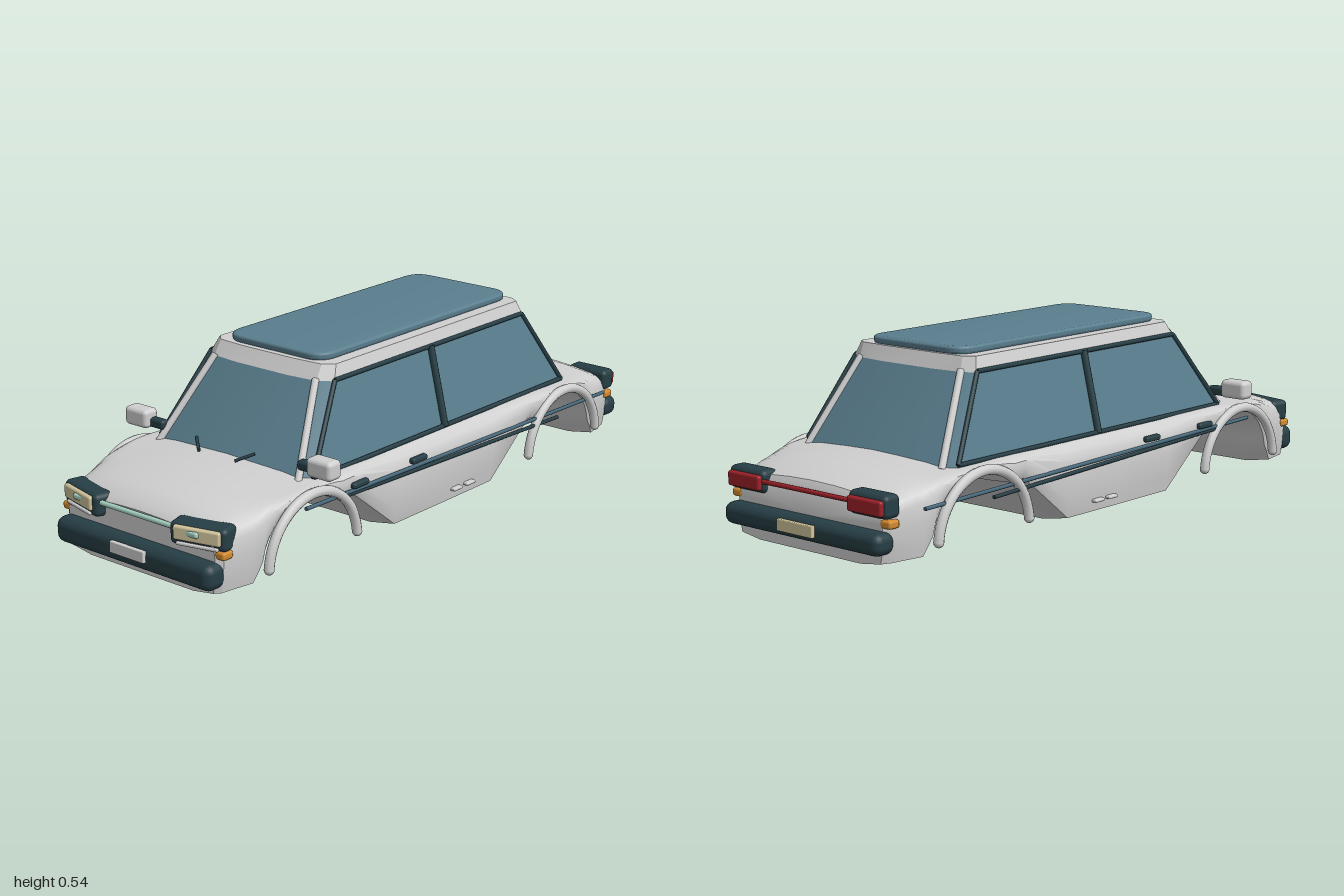
import * as THREE from 'three';
import { toCreasedNormals } from 'three/addons/utils/BufferGeometryUtils.js';
import { RoundedBoxGeometry } from 'three/addons/geometries/RoundedBoxGeometry.js';

const paint = (name, color) => {
  const m = new THREE.MeshStandardMaterial({ color });
  m.name = name;
  return m;
};
const mats = {
  body: paint('bodyPaint', 0xcfcfcf),
  glass: paint('blueGlass', 0x5a7e8e),
  dark: paint('darkTrim', 0x263e45),
  cream: paint('creamLens', 0xd2c69c),
  orange: paint('orangeLens', 0xd38a2e),
  red: paint('redLens', 0x9c2229),
  mint: paint('mintTrim', 0xa8d4c4),
  strip: paint('blueStrip', 0x46687a),
};
const V = (x, y, z) => new THREE.Vector3(x, y, z);

// Piecewise linear lookup in a list of [position, value] pairs
function lookup(table, p) {
  for (let i = 1; i < table.length; i++) {
    const [p0, v0] = table[i - 1], [p1, v1] = table[i];
    if (p <= p1) return v0 + (v1 - v0) * Math.max(0, (p - p0) / (p1 - p0));
  }
  return table[table.length - 1][1];
}

// Skin closed rings of equal length, with a cap at each end
function loft(rings, crease) {
  const n = rings[0].length, pos = [], idx = [];
  rings.forEach(r => r.forEach(p => pos.push(p.x, p.y, p.z)));
  for (let i = 0; i < rings.length - 1; i++) {
    for (let j = 0; j < n; j++) {
      const a = i * n + j, b = i * n + (j + 1) % n;
      idx.push(a, b, b + n, a, b + n, a + n);
    }
  }
  [0, rings.length - 1].forEach((i, end) => {
    const c = rings[i].reduce((s, p) => s.add(p), V(0, 0, 0)).divideScalar(n);
    const k = pos.length / 3;
    pos.push(c.x, c.y, c.z);
    for (let j = 0; j < n; j++) {
      const a = i * n + j, b = i * n + (j + 1) % n;
      idx.push(k, end ? a : b, end ? b : a);
    }
  });
  const g = new THREE.BufferGeometry();
  g.setAttribute('position', new THREE.Float32BufferAttribute(pos, 3));
  g.setIndex(idx);
  return toCreasedNormals(g, crease);
}

// Complete a half outline with its mirror image across x = 0
const mirrorRing = half => [...half, ...half.slice().reverse()
  .filter(p => p.x > 1e-6).map(p => V(-p.x, p.y, p.z))];

const ARCH = 0.605;

function bodyGeometry() {
  // Underside: flat sill, ramp, wheel tunnel, valance
  const under = [[0, 0], [0.235, 0], [0.4, 0.14], [0.43, 0.163]];
  for (let i = 0; i <= 12; i++) {
    const a = (0.75 - 0.7 * i / 12) * Math.PI;
    under.push([ARCH + 0.182 * Math.cos(a), 0.03 + 0.18 * Math.sin(a)]);
  }
  under.push([0.82, 0], [0.935, 0]);
  const top = [[-0.94, 0.155], [-0.925, 0.18], [-0.85, 0.207], [-0.7, 0.228], [-0.5, 0.236],
    [0.5, 0.238], [0.62, 0.235], [0.75, 0.226], [0.87, 0.205], [0.92, 0.182], [0.935, 0.165]];
  const width = [[-0.94, 0.285], [-0.92, 0.302], [-0.8, 0.332], [-0.6, 0.346], [0, 0.348],
    [0.6, 0.346], [0.8, 0.33], [0.92, 0.302], [0.935, 0.285]];
  const zs = new Set([0, ...top.map(t => t[0]), ...width.map(t => t[0])]);
  under.forEach(([z]) => { if (z < 0.93) { zs.add(z); zs.add(-z); } });
  const section = [[0, 0], [0.7, 0], [0.965, 0.07], [0.985, 0.25], [1, 0.55], [0.99, 0.78],
    [0.965, 0.89], [0.91, 0.96], [0.82, 1], [0.6, 1.04], [0.3, 1.07], [0, 1.08]];
  const rings = [...zs].sort((a, b) => a - b).map(z => {
    const lo = lookup(under, Math.abs(z)), hi = lookup(top, z), w = lookup(width, z);
    return mirrorRing(section.map(([sx, t]) =>
      V(sx * w, t <= 1 ? lo + (hi - lo) * t : hi + (t - 1) * 0.22, z)));
  });
  return loft(rings, 0.55);
}

export function createModel() {
  const car = new THREE.Group();
  car.name = 'carBody';
  const add = (name, geo, mat, x = 0, y = 0, z = 0) => {
    const m = new THREE.Mesh(geo, mat);
    m.name = name;
    m.position.set(x, y, z);
    car.add(m);
    return m;
  };
  const block = (name, mat, size, at, r = 0.01) => add(name,
    new RoundedBoxGeometry(...size, 3, Math.min(r, Math.min(...size) * 0.49)), mat, ...at);
  const bar = (name, mat, a, b, r, sides = 10) => {
    const d = b.clone().sub(a);
    const m = add(name, new THREE.CylinderGeometry(r, r, d.length(), sides), mat);
    m.position.copy(a).add(b).multiplyScalar(0.5);
    m.quaternion.setFromUnitVectors(V(0, 1, 0), d.normalize());
    return m;
  };

  add('bodyShell', bodyGeometry(), mats.body);

  // Glasshouse, white roof and raised roof panel
  const ring = (y, pts) => mirrorRing(pts.map(([x, z]) => V(x, y, z)));
  const base = [[0.1, 0.605], [0.262, 0.585], [0.297, 0.55], [0.297, -0.66], [0.255, -0.69], [0.1, -0.705]];
  const head = [[0.1, 0.425], [0.196, 0.415], [0.237, 0.385], [0.237, -0.515], [0.196, -0.535], [0.1, -0.545]];
  const crown = [[0.1, 0.4], [0.195, 0.393], [0.225, 0.365], [0.225, -0.505], [0.195, -0.527], [0.1, -0.532]];
  add('glasshouse', loft([ring(0.225, base), ring(0.475, head)], 0.2), mats.glass);
  add('roof', loft([ring(0.47, head.map(([x, z]) => [x * 1.01, z * 1.01])), ring(0.513, crown)], 0.2), mats.body);

  const w = 0.178, f = 0.375, b = -0.515, r = 0.055;
  const panel = new THREE.Shape();
  panel.moveTo(-w + r, b);
  panel.lineTo(w - r, b);
  panel.quadraticCurveTo(w, b, w, b + r);
  panel.lineTo(w, f - r);
  panel.quadraticCurveTo(w, f, w - r, f);
  panel.lineTo(-w + r, f);
  panel.quadraticCurveTo(-w, f, -w, f - r);
  panel.lineTo(-w, b + r);
  panel.quadraticCurveTo(-w, b, -w + r, b);
  const panelGeo = new THREE.ExtrudeGeometry(panel, { depth: 0.008, bevelThickness: 0.008,
    bevelSize: 0.01, bevelSegments: 3, curveSegments: 10 });
  panelGeo.rotateX(-Math.PI / 2).scale(1, 1, -1);
  // The mirrored panel needs its corner order turned round
  const pp = panelGeo.attributes.position;
  for (let i = 0; i < pp.count; i += 3) {
    const p1 = V().fromBufferAttribute(pp, i + 1), p2 = V().fromBufferAttribute(pp, i + 2);
    pp.setXYZ(i + 1, p2.x, p2.y, p2.z);
    pp.setXYZ(i + 2, p1.x, p1.y, p1.z);
  }
  panelGeo.deleteAttribute('normal');
  panelGeo.deleteAttribute('uv');
  add('roofPanel', toCreasedNormals(panelGeo, 0.6), mats.glass, 0, 0.519, 0);

  for (const s of [1, -1]) {
    const side = s > 0 ? 'left' : 'right';
    // Pillars and window frames
    bar(side + 'FrontPillar', mats.body, V(s * 0.272, 0.23, 0.585), V(s * 0.194, 0.475, 0.418), 0.011);
    bar(side + 'RearPillar', mats.body, V(s * 0.265, 0.225, -0.69), V(s * 0.196, 0.475, -0.535), 0.011);
    bar(side + 'MiddlePillar', mats.dark, V(s * 0.298, 0.235, -0.05), V(s * 0.24, 0.475, -0.05), 0.012);
    const frame = [V(s * 0.298, 0.237, 0.55), V(s * 0.239, 0.473, 0.387),
      V(s * 0.239, 0.473, -0.515), V(s * 0.298, 0.237, -0.658)];
    frame.forEach((p, i) => bar(side + 'WindowFrame', mats.dark, p, frame[(i + 1) % 4], 0.007, 8));

    // Mirror and wiper
    block(side + 'MirrorArm', mats.dark, [0.075, 0.03, 0.03], [s * 0.298, 0.277, 0.565]);
    block(side + 'Mirror', mats.body, [0.09, 0.057, 0.055], [s * 0.355, 0.288, 0.572], 0.014);
    bar(side + 'Wiper', mats.dark, V(s * 0.07, 0.258, 0.625), V(s * 0.114, 0.279, 0.588), 0.005, 8);

    // Wheel arch flares with rounded ends
    for (const e of [1, -1]) {
      const name = side + (e > 0 ? 'Front' : 'Rear') + 'Arch';
      const a0 = 0.1, arc = Math.PI - 2 * a0;
      const geo = new THREE.TorusGeometry(0.187, 0.015, 10, 36, arc);
      geo.rotateZ(a0).rotateY(Math.PI / 2);
      add(name, geo, mats.body, s * 0.347, 0.035, e * ARCH);
      for (const q of [1, -1]) {
        add(name + 'End', new THREE.SphereGeometry(0.015, 10, 8), mats.body, s * 0.347,
          0.035 + 0.187 * Math.sin(a0), e * ARCH + q * 0.187 * Math.cos(a0));
      }
    }

    // Side strips, door handles and sill pegs
    bar(side + 'UpperStrip', mats.strip, V(s * 0.349, 0.186, 0.64), V(s * 0.344, 0.155, -0.84), 0.006, 8);
    bar(side + 'LowerStrip', mats.dark, V(s * 0.349, 0.176, 0.5), V(s * 0.349, 0.14, -0.57), 0.006, 8);
    for (const z of [0.41, 0.143]) block(side + 'DoorHandle', mats.dark, [0.02, 0.018, 0.068], [s * 0.35, 0.196, z], 0.007);
    for (const z of [-0.047, -0.11]) block(side + 'SillPeg', mats.body, [0.022, 0.01, 0.042], [s * 0.346, 0.05, z], 0.004);

    // Headlamp cluster, swept back towards the flank
    const lamp = new THREE.Group();
    lamp.name = side + 'Headlamp';
    lamp.position.set(s * 0.221, 0.165, 0.912);
    lamp.rotation.y = s * 0.24;
    car.add(lamp);
    lamp.add(
      block('lampHousing', mats.dark, [0.178, 0.068, 0.068], [0, 0, 0], 0.016),
      block('lampLens', mats.cream, [0.146, 0.042, 0.03], [0, 0.006, 0.028], 0.007),
      block('lampSill', mats.body, [0.13, 0.01, 0.02], [0, -0.025, 0.031], 0.004));
    block(side + 'FrontIndicator', mats.orange, [0.042, 0.024, 0.04], [s * 0.293, 0.124, 0.913], 0.008);
    block(side + 'GrilleBarEnd', mats.mint, [0.045, 0.018, 0.02], [s * 0.218, 0.175, 0.951], 0.007);

    // Tail lamps
    block(side + 'TailHousing', mats.dark, [0.145, 0.066, 0.06], [s * 0.238, 0.17, -0.925], 0.016);
    block(side + 'TailLens', mats.red, [0.13, 0.044, 0.026], [s * 0.238, 0.168, -0.954], 0.008);
    block(side + 'RearIndicator', mats.orange, [0.04, 0.024, 0.04], [s * 0.293, 0.122, -0.922], 0.008);
  }

  // Bars between the lamps
  bar('grilleBar', mats.mint, V(-0.22, 0.175, 0.945), V(0.22, 0.175, 0.945), 0.008);
  bar('tailBar', mats.red, V(-0.2, 0.172, -0.948), V(0.2, 0.172, -0.948), 0.007);

  // Bumpers and number plates
  block('frontBumper', mats.dark, [0.605, 0.078, 0.075], [0, 0.066, 0.943], 0.028);
  block('rearBumper', mats.dark, [0.615, 0.064, 0.075], [0, 0.07, -0.948], 0.026);
  block('frontPlate', mats.body, [0.132, 0.035, 0.014], [0, 0.077, 0.984], 0.003);
  block('rearPlate', mats.cream, [0.14, 0.035, 0.014], [0, 0.075, -0.99], 0.003);
  return car;
}
